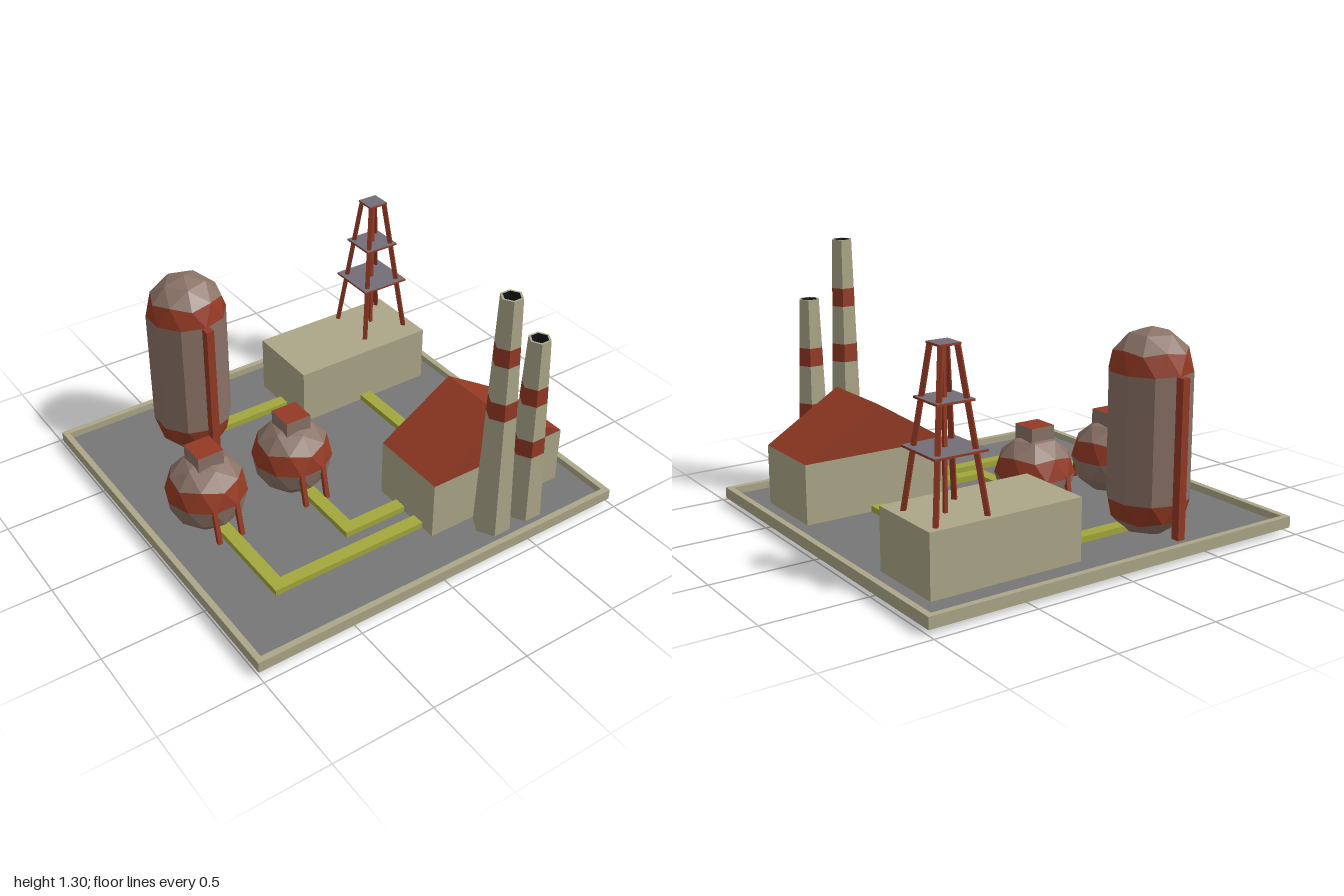
import * as THREE from 'three';

const mat = (color, side = THREE.FrontSide) => new THREE.MeshStandardMaterial({ color, flatShading: true, side });
const beige = mat(0xaca789), red = mat(0x943a24), brown = mat(0x8a7266), grey = mat(0x777777);
const yellow = mat(0xa2a73c), deck = mat(0x746d78), black = mat(0x101414, THREE.DoubleSide);

export function createModel() {
  const model = new THREE.Group();

  const add = (name, geo, material, parent = model) => {
    const m = new THREE.Mesh(geo, material);
    m.name = name;
    parent.add(m);
    return m;
  };
  const group = (name, x, y, z) => {
    const g = new THREE.Group();
    g.name = name;
    g.position.set(x, y, z);
    model.add(g);
    return g;
  };
  // box given by its min and max on each axis
  const box = (name, [x0, x1], [y0, y1], [z0, z1], material, parent) => {
    const m = add(name, new THREE.BoxGeometry(x1 - x0, y1 - y0, z1 - z0), material, parent);
    m.position.set((x0 + x1) / 2, (y0 + y1) / 2, (z0 + z1) / 2);
    return m;
  };
  // square strut between two points
  const strut = (name, a, b, w, parent) => {
    const p = new THREE.Vector3(...a), q = new THREE.Vector3(...b);
    const m = add(name, new THREE.BoxGeometry(w, w, p.distanceTo(q)), red, parent);
    m.position.copy(p).add(q).multiplyScalar(0.5);
    m.lookAt(q.clone().add(parent.position));
    return m;
  };

  // Ground slab with a raised border
  const border = new THREE.Shape([[-1, -0.96], [1, -0.96], [1, 0.96], [-1, 0.96]].map(p => new THREE.Vector2(...p)));
  border.holes.push(new THREE.Path([[-0.97, -0.93], [-0.97, 0.93], [0.97, 0.93], [0.97, -0.93]].map(p => new THREE.Vector2(...p))));
  const borderGeo = new THREE.ExtrudeGeometry(border, { depth: 0.055, bevelEnabled: false });
  add('border', borderGeo.rotateX(-Math.PI / 2).translate(0, 0.025, 0), beige);
  box('ground', [-0.97, 0.97], [0.026, 0.045], [-0.93, 0.93], grey);
  add('underside', new THREE.PlaneGeometry(2, 1.92).rotateX(Math.PI / 2).translate(0, 0.0245, 0), grey);

  // Pipes
  const py = [0.02, 0.075];
  box('pipe', [-0.71, -0.645], py, [-0.02, 0.57], yellow);
  box('pipe', [-0.71, 0.12], py, [0.57, 0.635], yellow);
  box('pipe', [-0.232, -0.167], py, [-0.02, 0.43], yellow);
  box('pipe', [-0.232, 0.12], py, [0.43, 0.495], yellow);
  box('pipe', [-0.42, 0.12], py, [-0.605, -0.54], yellow);
  box('pipe', [0.467, 0.532], py, [-0.39, 0.32], yellow);

  // Buildings
  box('flatBuilding', [0.105, 0.875], [0.019, 0.34], [-0.775, -0.375], beige);
  box('gabledBuilding', [0.105, 0.875], [0.019, 0.34], [0.31, 0.71], beige);
  const gable = new THREE.Shape([[0.105, 0.34], [0.875, 0.34], [0.49, 0.578]].map(p => new THREE.Vector2(...p)));
  add('roof', new THREE.ExtrudeGeometry(gable, { depth: 0.4, bevelEnabled: false }).translate(0, 0, 0.31), red);

  // Faceted ball with its pole up, keeping only the faces whose height range passes the test
  const R = 0.198;
  const ballFaces = (test) => {
    const src = new THREE.IcosahedronGeometry(R, 1).rotateZ(Math.atan2(2, 1 + Math.sqrt(5)));
    const p = src.attributes.position, out = [];
    for (let i = 0; i < p.count; i += 3) {
      const ys = [0, 1, 2].map(k => p.getY(i + k));
      if (!test(Math.min(...ys), Math.max(...ys))) continue;
      for (let k = 0; k < 3; k++) out.push(p.getX(i + k), p.getY(i + k), p.getZ(i + k));
    }
    const g = new THREE.BufferGeometry();
    g.setAttribute('position', new THREE.Float32BufferAttribute(out, 3));
    g.computeVertexNormals();
    return g;
  };
  const e = 0.005;
  const upperBand = () => ballFaces((lo) => lo > -e && lo < e);
  const upperCap = () => ballFaces((lo) => lo >= e);
  const lowerBand = () => ballFaces((lo, hi) => hi < e && hi > -e);
  const lowerCap = () => ballFaces((lo, hi) => hi <= -e);

  // Tall tank with domed ends and two side posts
  const tank = group('tallTank', -0.425, 0.2, -0.6);
  add('tankBody', new THREE.CylinderGeometry(R, R, 0.6, 10, 1, true).translate(0, 0.3, 0), brown, tank);
  add('tankTopBand', upperBand().translate(0, 0.6, 0), red, tank);
  add('tankTopCap', upperCap().translate(0, 0.6, 0), brown, tank);
  add('tankBottomBand', lowerBand(), red, tank);
  add('tankBottomCap', lowerCap(), brown, tank);
  for (const s of [-1, 1]) {
    const c = s * 0.215;
    box('tankPost', [-0.02, 0.02], [-0.175, 0.6], [c - 0.022, c + 0.022], red, tank);
  }

  // Two round tanks on splayed legs
  for (const x of [-0.68, -0.2]) {
    const ball = group('roundTank', x, 0.2, -0.02);
    const shell = new THREE.Group();
    shell.name = 'tankShell';
    shell.rotation.y = Math.PI / 2;
    ball.add(shell);
    add('shellBand', upperBand(), red, shell);
    add('shellTop', upperCap(), brown, shell);
    add('shellLowerBand', lowerBand(), brown, shell);
    add('shellBottom', lowerCap(), brown, shell);
    box('hatch', [-0.067, 0.067], [0.13, 0.242], [-0.067, 0.067], [brown, brown, red, brown, brown, brown], ball);
    for (const sx of [-1, 1]) for (const sz of [-1, 1])
      strut('tankLeg', [sx * 0.06, 0.01, sz * 0.18], [sx * 0.06, -0.18, sz * 0.222], 0.022, ball);
  }

  // Tapered hexagonal chimneys with painted bands; cuts alternate plain and painted
  const chimney = (x, cuts) => {
    const g = group('chimney', x, 0, 0.797);
    const y0 = cuts[0], y1 = cuts[cuts.length - 1];
    const rad = y => THREE.MathUtils.mapLinear(y, y0, y1, 0.092, 0.053);
    for (let i = 0; i + 1 < cuts.length; i++) {
      const a = cuts[i], b = cuts[i + 1];
      const geo = new THREE.CylinderGeometry(rad(b), rad(a), b - a, 6, 1, true, Math.PI / 6);
      add(i % 2 ? 'chimneyBand' : 'chimneyShaft', geo.translate(0, (a + b) / 2, 0), i % 2 ? red : beige, g);
    }
    add('chimneyRim', new THREE.RingGeometry(0.042, 0.053, 6, 1).rotateX(-Math.PI / 2).translate(0, y1, 0), beige, g);
    add('flue', new THREE.CylinderGeometry(0.042, 0.042, 0.12, 6, 1, true, Math.PI / 6).translate(0, y1 - 0.06, 0), black, g);
    add('flueFloor', new THREE.CircleGeometry(0.042, 6).rotateX(-Math.PI / 2).translate(0, y1 - 0.12, 0), black, g);
  };
  chimney(0.392, [0.035, 0.69, 0.78, 0.97, 1.06, 1.3]);
  chimney(0.582, [0.035, 0.41, 0.5, 0.69, 0.78, 1.02]);

  // Lattice tower: four leaning legs, a centre post and three decks
  const tower = group('tower', 0.695, 0, -0.61);
  for (const sx of [-1, 1]) for (const sz of [-1, 1])
    strut('towerLeg', [sx * 0.127, 0.335, sz * 0.127], [sx * 0.04, 1.06, sz * 0.04], 0.022, tower);
  box('towerPost', [-0.008, 0.008], [0.335, 1.06], [-0.008, 0.008], red, tower);
  for (const [y, h] of [[0.62, 0.13], [0.83, 0.092], [1.06, 0.052]])
    box('towerDeck', [-h, h], [y - 0.005, y + 0.005], [-h, h], [red, red, deck, deck, red, red], tower);

  return model;
}
